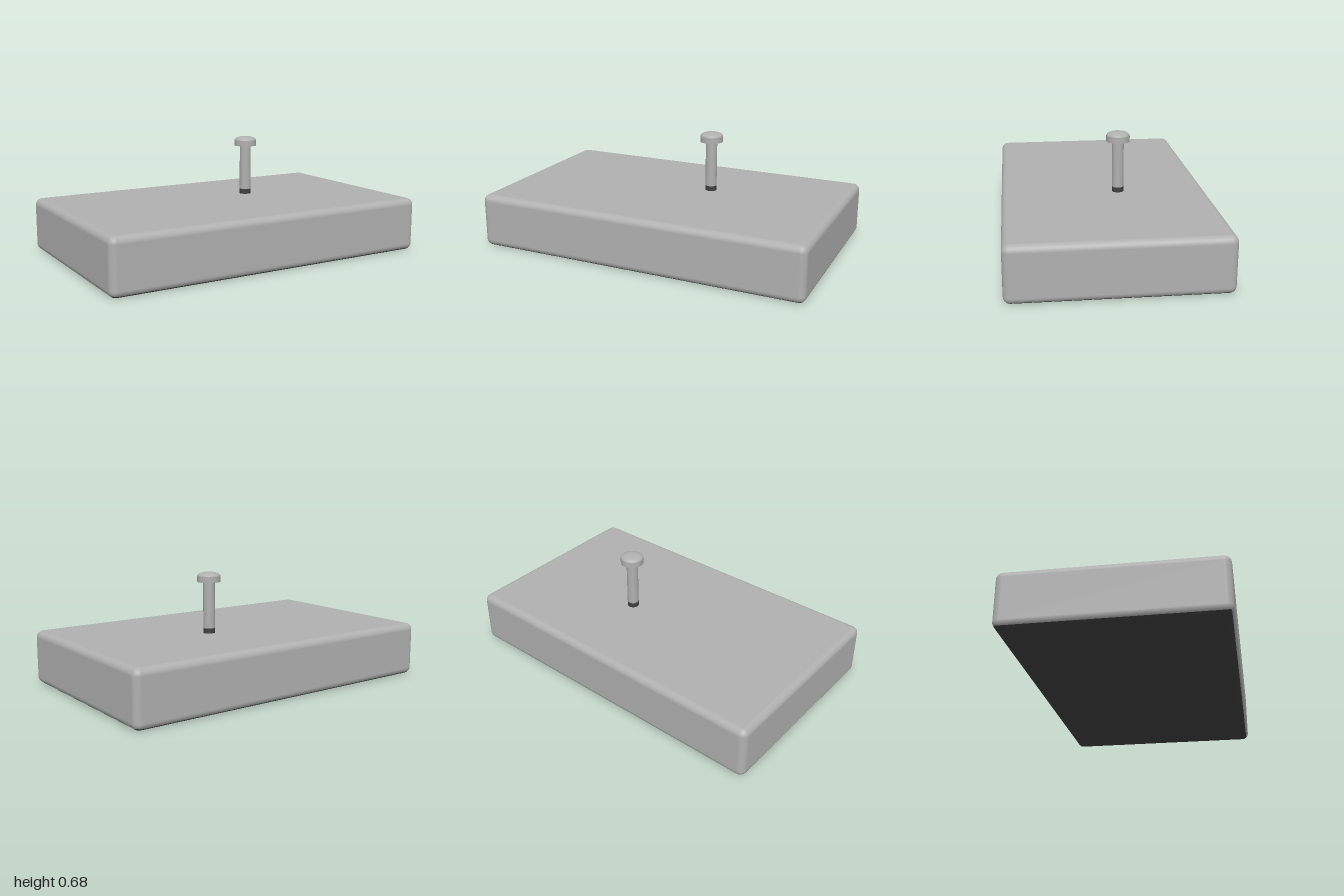
import * as THREE from 'three';
import { RoundedBoxGeometry } from 'three/addons/geometries/RoundedBoxGeometry.js';

export function createModel() {
  const model = new THREE.Group();
  const grey = new THREE.MeshStandardMaterial({ name: 'grey', color: 0xb0b0b0 });
  const dark = new THREE.MeshStandardMaterial({ name: 'darkGrey', color: 0x404040 });

  const add = (name, geometry, material, x, y, z) => {
    const mesh = new THREE.Mesh(geometry, material);
    mesh.name = name;
    mesh.position.set(x, y, z);
    model.add(mesh);
  };

  // Rounded slab with a dark underside (face order: +x, -x, +y, -y, +z, -z)
  add('body', new RoundedBoxGeometry(2, 0.32, 1.2, 5, 0.04),
    [grey, grey, grey, dark, grey, grey], 0, 0.16, 0);

  // Upright pin: dark collar, stem and domed cap
  const px = 0.2, pz = -0.08, r = 0.034;
  add('collar', new THREE.CylinderGeometry(r, r, 0.04, 32), dark, px, 0.33, pz);
  add('stem', new THREE.CylinderGeometry(r, r, 0.28, 32), grey, px, 0.49, pz);
  add('capRim', new THREE.CylinderGeometry(0.068, 0.068, 0.033, 32), grey, px, 0.6395, pz);

  const dome = new THREE.SphereGeometry(0.068, 32, 10, 0, Math.PI * 2, 0, Math.PI / 2);
  dome.scale(1, 0.025 / 0.068, 1);
  add('capDome', dome, grey, px, 0.656, pz);

  return model;
}
